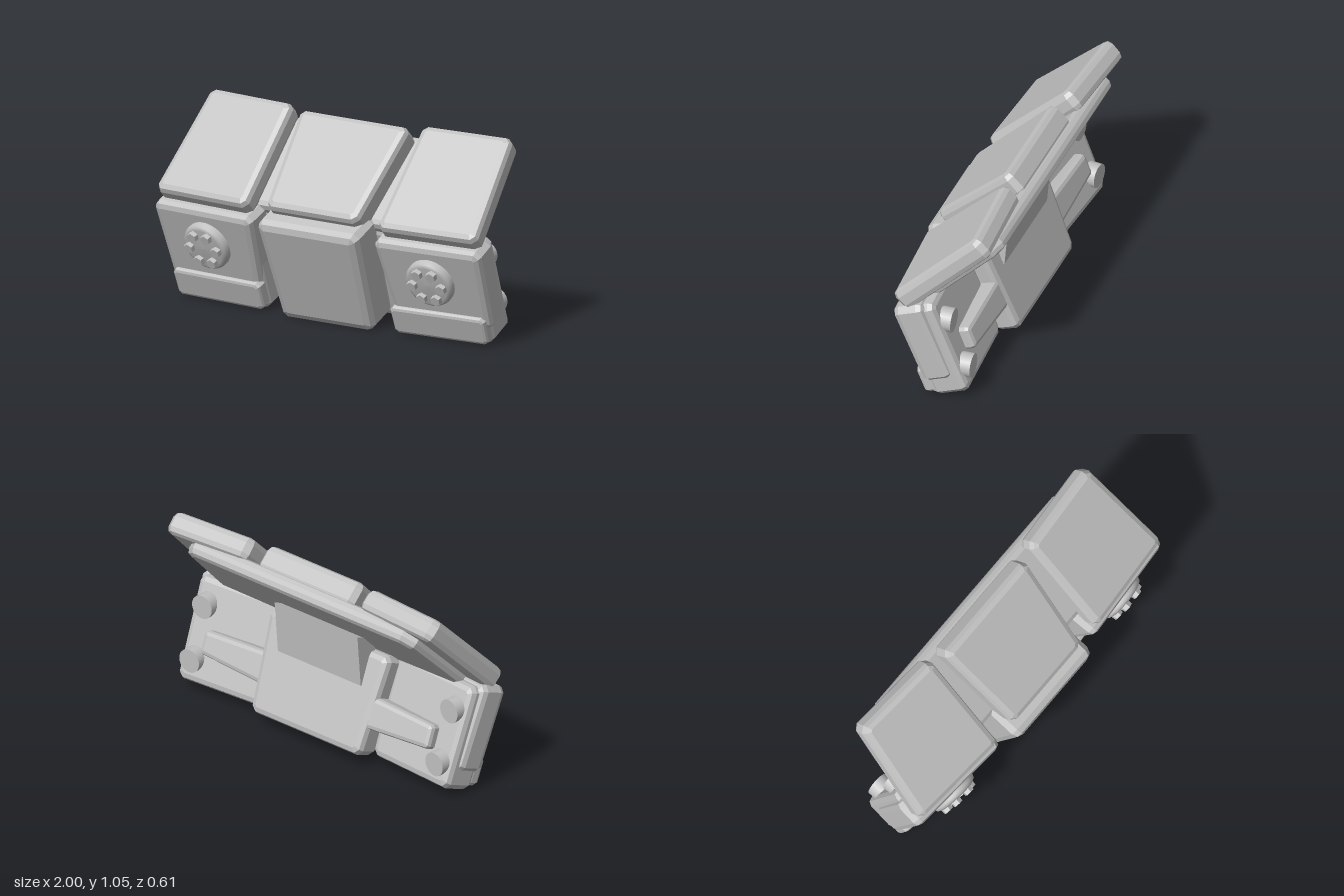
import * as THREE from 'three';

const grey = new THREE.MeshStandardMaterial({ color: 0xc0c0c0 });
grey.name = 'plain grey';

const LOWER_TILT = 0.375;
const UPPER_TILT = -Math.PI / 4;

function add(parent, name, geometry, x = 0, y = 0, z = 0) {
  const mesh = new THREE.Mesh(geometry, grey);
  mesh.name = name;
  mesh.position.set(x, y, z);
  parent.add(mesh);
  return mesh;
}

// Chamfered slab: four corners in x/y with clipped corners, from z0 to z1
function slab(parent, name, corners, z0, z1, bevel, clip = 0.03) {
  const pts = [];
  corners.forEach(([x, y], i) => {
    const here = new THREE.Vector2(x, y);
    for (const j of [(i + 3) % 4, (i + 1) % 4]) {
      const dir = new THREE.Vector2(...corners[j]).sub(here).normalize();
      pts.push(here.clone().addScaledVector(dir, clip));
    }
  });
  const geometry = new THREE.ExtrudeGeometry(new THREE.Shape(pts), {
    depth: z1 - z0 - 2 * bevel, bevelEnabled: true, bevelThickness: bevel,
    bevelSize: bevel, bevelOffset: -bevel, bevelSegments: 2,
  });
  return add(parent, name, geometry, 0, 0, z0 + bevel);
}

// Corners of a trapezoid: bottom x range, top x range, mirrored by side
const trapezoid = (b0, b1, t0, t1, y0, y1, side = 1) =>
  [[b0, y0], [b1, y0], [t1, y1], [t0, y1]].map(([x, y]) => [x * side, y]);

function tiltedGroup(parent, name, angle) {
  const group = new THREE.Group();
  group.name = name;
  group.rotation.x = angle;
  parent.add(group);
  return group;
}

// Upright group whose contents swing back toward the outer end
function yawGroup(parent, name, side) {
  const pivot = new THREE.Group();
  pivot.name = name;
  pivot.position.x = 0.69 * side;
  pivot.rotation.y = 0.07 * side;
  const inner = new THREE.Group();
  inner.name = name + 'Parts';
  inner.position.x = -0.69 * side;
  pivot.add(inner);
  parent.add(pivot);
  return inner;
}

// Round boss with a ring of six hexagonal bolts
function boss(parent, side) {
  const group = new THREE.Group();
  group.name = 'boltedBoss';
  group.position.set(0.675 * side, 0.375, 0.022);
  parent.add(group);
  const profile = [[0.135, 0], [0.135, 0.03], [0.128, 0.045], [0.11, 0.054], [0, 0.058]]
    .map(([r, h]) => new THREE.Vector2(r, h));
  add(group, 'bossDisc', new THREE.LatheGeometry(profile, 32).rotateX(Math.PI / 2));
  for (let i = 0; i < 6; i++) {
    const a = i * Math.PI / 3;
    const bolt = new THREE.CylinderGeometry(0.028, 0.032, 0.04, 6).toNonIndexed();
    bolt.computeVertexNormals();
    bolt.rotateX(Math.PI / 2);
    add(group, 'hexBolt', bolt, 0.085 * Math.cos(a), 0.085 * Math.sin(a), 0.06);
  }
}

export function createModel() {
  const model = new THREE.Group();
  model.name = 'segmentedArmourPanel';

  // Lower half leans forward at the top, upper half leans back
  const lower = tiltedGroup(model, 'lowerCentre', LOWER_TILT);
  const upper = tiltedGroup(model, 'upperCentre', UPPER_TILT);

  // Centre column
  slab(lower, 'lowerCentreSlab', trapezoid(-0.28, 0.28, -0.31, 0.31, 0.022, 0.62), -0.13, 0.1, 0.045);
  slab(lower, 'lowerCentreBackBox', trapezoid(-0.38, 0.38, -0.42, 0.42, -0.01, 0.54), -0.265, -0.11, 0.035);
  slab(upper, 'upperCentreSlab', trapezoid(-0.28, 0.28, -0.335, 0.335, 0.25, 0.85), 0.48, 0.63, 0.035);
  slab(upper, 'upperBackPlate', trapezoid(-0.85, 0.85, -0.79, 0.79, 0.31, 0.865), 0.415, 0.51, 0.035, 0.06);

  // Spine bracket joining the two halves at the back
  const section = [[-0.03, 0.66], [-0.15, 0.71], [-0.125, 0.42], [0.02, 0.42]]
    .map(([z, y]) => new THREE.Vector2(z, y));
  const spine = new THREE.ExtrudeGeometry(new THREE.Shape(section), { depth: 0.58, bevelEnabled: false });
  add(model, 'spineBracket', spine.translate(0, 0, -0.29).rotateY(-Math.PI / 2));

  for (const side of [1, -1]) {
    const wing = yawGroup(model, side > 0 ? 'leftWing' : 'rightWing', side);

    // Lower outer stack: base, shell, foot strip and boss
    const outerLow = tiltedGroup(wing, 'lowerOuterStack', LOWER_TILT);
    slab(outerLow, 'lowerOuterBase', trapezoid(0.4, 0.955, 0.385, 0.96, 0, 0.56, side), -0.19, 0.015, 0.035);
    slab(outerLow, 'lowerOuterShell', trapezoid(0.41, 0.975, 0.36, 0.99, 0.1, 0.58, side), -0.14, 0.03, 0.035);
    slab(outerLow, 'footStrip', trapezoid(0.4, 0.95, 0.395, 0.952, 0.025, 0.185, side), -0.02, 0.055, 0.018, 0.02);
    boss(outerLow, side);

    // Level round studs sunk into the sloping back face
    for (const [y, z] of [[0.455, -0.055], [0.185, -0.16]]) {
      const stud = new THREE.CylinderGeometry(0.065, 0.065, 0.08, 24).rotateX(Math.PI / 2);
      add(wing, 'rearStud', stud, 0.87 * side, y, z + 0.028);
    }

    // Rear arm tapering outward from the centre box
    slab(lower, 'rearArm', [[0.36, 0.14], [0.8, 0.165], [0.8, 0.295], [0.36, 0.315]]
      .map(([x, y]) => [x * side, y]), -0.255, -0.13, 0.025, 0.015);

    // Upper outer slab
    const outerUp = tiltedGroup(wing, 'upperOuterStack', UPPER_TILT);
    slab(outerUp, 'upperOuterSlab', trapezoid(0.386, 0.972, 0.415, 0.943, 0.255, 0.895, side), 0.48, 0.605, 0.035);
  }
  return model;
}
